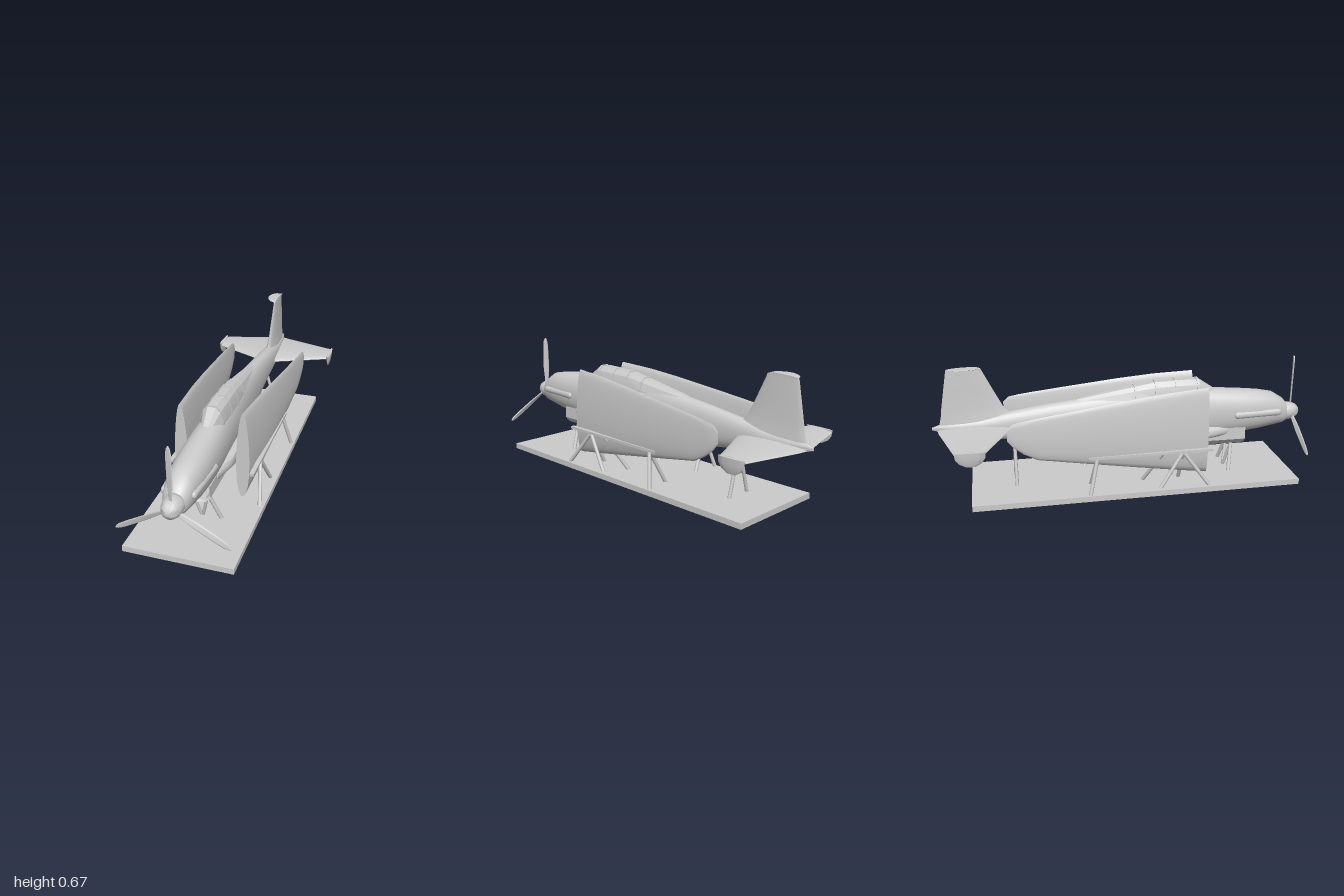
import * as THREE from 'three';
import { toCreasedNormals } from 'three/addons/utils/BufferGeometryUtils.js';

const mat = new THREE.MeshStandardMaterial({ color: 0xcccccc, roughness: 0.8 });

// Closed, capped skin over rings of [x, y, z] points; always wound outward
function loft(rings, crease = 0.6) {
  const n = rings[0].length, pos = rings.flat(2), idx = [];
  const last = (rings.length - 1) * n;
  for (let i = 0; i < rings.length - 1; i++)
    for (let j = 0; j < n; j++) {
      const a = i * n + j, b = i * n + (j + 1) % n;
      idx.push(a, b, a + n, b, b + n, a + n);
    }
  for (const [ring, base, flip] of [[rings[0], 0, true], [rings[rings.length - 1], last, false]]) {
    const c = pos.length / 3;
    for (let k = 0; k < 3; k++) pos.push(ring.reduce((s, p) => s + p[k], 0) / n);
    for (let j = 0; j < n; j++) {
      const a = base + j, b = base + (j + 1) % n;
      idx.push(c, flip ? b : a, flip ? a : b);
    }
  }
  const v = (i) => new THREE.Vector3().fromArray(pos, i * 3);
  let volume = 0;
  for (let i = 0; i < idx.length; i += 3) volume += v(idx[i]).dot(v(idx[i + 1]).cross(v(idx[i + 2])));
  if (volume < 0) idx.reverse();
  const g = new THREE.BufferGeometry();
  g.setAttribute('position', new THREE.Float32BufferAttribute(pos, 3));
  g.setIndex(idx);
  return toCreasedNormals(g, crease);
}

// Body cross-section, slightly squarer than an ellipse
function bodyRing(z, hw, top, bot, n = 32) {
  const f = (v) => Math.sign(v) * Math.abs(v) ** 0.88;
  return Array.from({ length: n }, (_, i) => {
    const a = (i / n) * Math.PI * 2;
    return [hw * f(Math.cos(a)), (top + bot) / 2 + ((top - bot) / 2) * f(Math.sin(a)), z];
  });
}

// Wing cross-section: place(c, t) with c along the chord 0..1 and t across -1..1
function foil(place, n = 20) {
  return Array.from({ length: n }, (_, i) => {
    const a = (i / n) * Math.PI * 2, c = (1 - Math.cos(a)) / 2;
    return place(c, Math.sin(a) * (1.15 - 0.45 * c));
  });
}

export function createModel() {
  const model = new THREE.Group();
  const add = (name, geo, parent = model) => {
    const m = new THREE.Mesh(geo, mat);
    m.name = name;
    parent.add(m);
    return m;
  };
  const strut = (name, a, b, r = 0.011) => {
    const A = new THREE.Vector3(...a), B = new THREE.Vector3(...b);
    const m = add(name, new THREE.CylinderGeometry(r, r, A.distanceTo(B), 10));
    m.position.copy(A).add(B).multiplyScalar(0.5);
    m.quaternion.setFromUnitVectors(new THREE.Vector3(0, 1, 0), B.sub(A).normalize());
  };

  // Display base
  add('base', new THREE.BoxGeometry(0.545, 0.03, 1.735)).position.set(0, 0.015, 0.047);

  // Fuselage: z, half width, top, bottom
  add('fuselage', loft([
    [0.912, 0.052, 0.385, 0.27], [0.895, 0.062, 0.405, 0.262], [0.835, 0.073, 0.443, 0.252],
    [0.75, 0.084, 0.46, 0.238], [0.65, 0.089, 0.471, 0.228], [0.5, 0.088, 0.485, 0.215],
    [0.35, 0.082, 0.495, 0.205], [0.2, 0.075, 0.5, 0.2], [0, 0.067, 0.497, 0.203],
    [-0.2, 0.058, 0.475, 0.217], [-0.4, 0.05, 0.453, 0.243], [-0.6, 0.044, 0.425, 0.27],
    [-0.75, 0.038, 0.4, 0.288], [-0.88, 0.026, 0.385, 0.312], [-0.96, 0.014, 0.375, 0.335],
    [-1, 0.004, 0.362, 0.348],
  ].map((s) => bodyRing(...s))));

  // Canopy with frame hoops
  const hoop = (z, hw, top, base = 0.42) =>
    [[hw, base], [hw * 0.98, base + (top - base) * 0.4], [hw * 0.72, base + (top - base) * 0.8],
      [hw * 0.35, top], [-hw * 0.35, top], [-hw * 0.72, base + (top - base) * 0.8],
      [-hw * 0.98, base + (top - base) * 0.4], [-hw, base]].map(([x, y]) => [x, y, z]);
  add('canopy', loft([[0.5, 0.035, 0.483], [0.41, 0.06, 0.543], [0.36, 0.063, 0.548], [0.17, 0.06, 0.543],
    [0.05, 0.054, 0.522], [-0.1, 0.044, 0.497], [-0.25, 0.03, 0.47]].map((s) => hoop(...s)), 0.3));
  for (const [z, hw, top] of [[0.4, 0.063, 0.549], [0.28, 0.065, 0.549], [0.17, 0.063, 0.546], [0.06, 0.058, 0.527]])
    add('canopyFrame', loft([hoop(z + 0.006, hw, top), hoop(z - 0.006, hw, top)], 0.3));

  // Radiator scoop with recessed mouth: z, scale, bottom, top
  const scoop = (z, k, bot, top) => [[0.078, 1], [0.08, 0.35], [0.055, 0.06], [0.02, 0], [-0.02, 0],
    [-0.055, 0.06], [-0.08, 0.35], [-0.078, 1]].map(([x, t]) => [x * k, bot + (top - bot) * t, z]);
  add('radiatorScoop', loft([[0.56, 0.86, 0.185, 0.26], [0.655, 0.9, 0.182, 0.262], [0.665, 1, 0.172, 0.27],
    [0.42, 1, 0.17, 0.28], [0.25, 0.9, 0.178, 0.28], [0.1, 0.75, 0.195, 0.28], [0, 0.6, 0.21, 0.28]]
    .map((s) => scoop(...s)), 0.5));

  // Spinner and three blades
  const propeller = new THREE.Group();
  propeller.name = 'propeller';
  propeller.position.set(0, 0.325, 0.95);
  model.add(propeller);
  const cone = [[0, -0.04], [0.05, -0.04], [0.051, -0.02], [0.047, 0.005], [0.037, 0.028], [0.02, 0.043], [0, 0.05]];
  add('spinner', toCreasedNormals(new THREE.LatheGeometry(cone.map((p) => new THREE.Vector2(...p)), 24)
    .rotateX(Math.PI / 2), 0.8), propeller);
  const blade = loft([[0.02, 0.009, 0.5], [0.07, 0.012, 0.5], [0.13, 0.017, 0.4], [0.22, 0.017, 0.3],
    [0.28, 0.015, 0.22], [0.305, 0.01, 0.2], [0.315, 0.003, 0.2]].map(([y, w, tw]) => foil((c, t) => {
    const x = (c * 2 - 1) * w, z = t * 0.005;
    return [x * Math.cos(tw) - z * Math.sin(tw), y, x * Math.sin(tw) + z * Math.cos(tw)];
  }, 12)));
  for (let i = 0; i < 3; i++) add('blade', blade, propeller).rotation.z = (i * Math.PI * 2) / 3;

  // Fin, with its tip folded over to the right
  add('fin', loft([[0.36, -0.54, -0.965, 0.03], [0.42, -0.6, -0.95, 0.021], [0.46, -0.635, -0.945, 0.016],
    [0.56, -0.685, -0.927, 0.013], [0.664, -0.735, -0.908, 0.008]]
    .map(([y, a, b, h]) => foil((c, t) => [t * h, y, a + (b - a) * c]))));
  add('foldedFinTip', loft([[0.006, -0.735, -0.908, 0.664, 0.01], [-0.025, -0.745, -0.895, 0.669, 0.005],
    [-0.044, -0.77, -0.87, 0.671, 0.003], [-0.054, -0.8, -0.84, 0.672, 0.001]]
    .map(([x, a, b, y, h]) => foil((c, t) => [x, y + t * h, a + (b - a) * c], 12))));

  for (const s of [1, -1]) {
    const side = s > 0 ? 'left' : 'right';

    // Tailplane and its folded-down tip
    add(side + 'Tailplane', loft([[0, -0.575, -0.975, 0.345, 0.024], [0.05, -0.605, -0.965, 0.342, 0.019],
      [0.335, -0.735, -0.885, 0.341, 0.013]]
      .map(([x, a, b, y, h]) => foil((c, t) => [s * x, y + t * h, a + (b - a) * c]))));
    add(side + 'TailplaneTip', loft([[0.352, -0.735, -0.885, 0.343, 0.011], [0.32, -0.738, -0.88, 0.343, 0.009],
      [0.295, -0.755, -0.862, 0.342, 0.006], [0.277, -0.785, -0.83, 0.34, 0.002]]
      .map(([y, a, b, x, h]) => foil((c, t) => [s * (x + t * h), y, a + (b - a) * c], 12))));

    // Wing stub left at the fold line
    add(side + 'WingStub', loft([[0.03, 0.62, -0.03, 0.262, 0.042], [0.08, 0.57, 0, 0.258, 0.04],
      [0.108, 0.44, 0.02, 0.255, 0.038]]
      .map(([x, a, b, y, h]) => foil((c, t) => [s * x, y + t * h, a + (b - a) * c]))));

    // Folded wing: z, bottom, top, centre x, half thickness
    add(side + 'FoldedWing', loft([[0.42, 0.066, 0.542, 0.16, 0.036], [0.2, 0.105, 0.53, 0.176, 0.033],
      [0, 0.142, 0.51, 0.189, 0.028], [-0.3, 0.197, 0.474, 0.204, 0.02], [-0.48, 0.23, 0.452, 0.211, 0.015],
      [-0.55, 0.268, 0.442, 0.214, 0.012], [-0.6, 0.308, 0.432, 0.216, 0.009], [-0.628, 0.345, 0.405, 0.217, 0.003]]
      .map(([z, a, b, x, h]) => foil((c, t) => [s * (x + t * h), a + (b - a) * c, z], 24))));

    // Exhaust fairing
    const exhaust = add(side + 'Exhaust', new THREE.CapsuleGeometry(0.019, 0.235, 6, 14).rotateX(Math.PI / 2));
    exhaust.scale.x = 0.75;
    exhaust.position.set(s * 0.078, 0.347, 0.733);
    exhaust.rotation.y = -s * 0.06;

    // Wing cradle: rail on splayed legs
    add(side + 'CradleRail', new THREE.BoxGeometry(0.022, 0.014, 0.66)).position.set(s * 0.211, 0.216, 0.11);
    for (const [top, x, z] of [[0.28, 0.25, 0.42], [0.28, 0.235, 0.155], [0.28, 0.115, 0.28],
      [0.17, 0.115, 0.08], [-0.175, 0.255, -0.22], [-0.175, 0.115, -0.2]])
      strut(side + 'CradleLeg', [s * 0.211, 0.213, top], [s * x, 0.025, z], 0.01);

    // Fuselage supports, front and tail
    strut(side + 'FrontOuterStrut', [s * 0.035, 0.19, 0.6], [s * 0.1, 0.025, 0.57], 0.01);
    strut(side + 'FrontInnerStrut', [s * 0.045, 0.19, 0.6], [s * 0.003, 0.025, 0.57], 0.008);
    strut(side + 'TailStrut', [0, 0.285, -0.585], [s * 0.07, 0.025, -0.585], 0.009);
  }
  return model;
}
